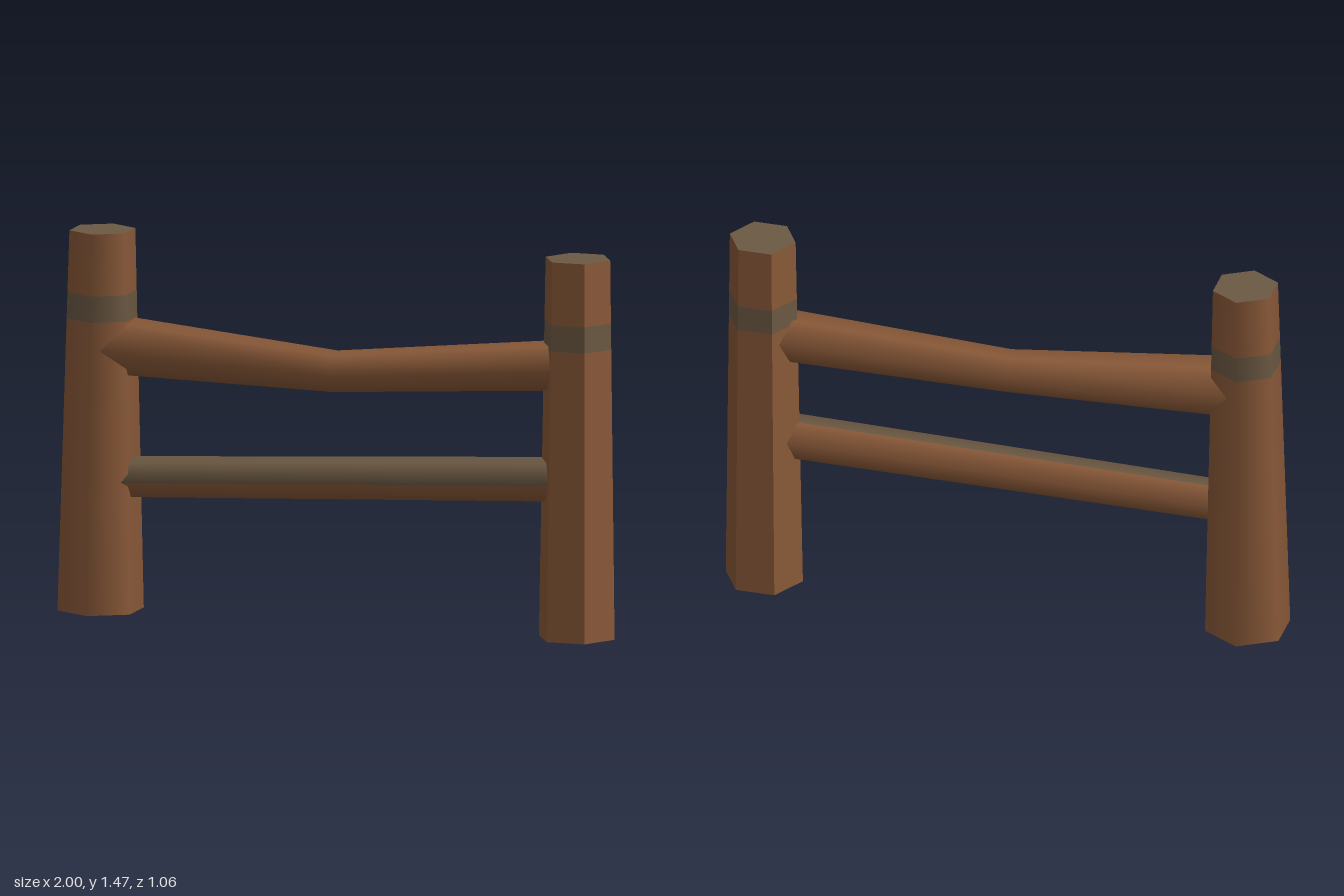
import * as THREE from 'three';

const V = (x, y, z) => new THREE.Vector3(x, y, z);
const SIDES = 6;

// Six-sided loft through rings [x, y, z, radius]; u x v must point along the path.
// pick(segment, side) gives the material index of each face; caps = [first, last] index or null.
function loft(name, rings, u, v, turn, smooth, materials, pick, caps = [null, null]) {
  const pos = [], nor = [], geo = new THREE.BufferGeometry();
  const dir = k => {
    const a = THREE.MathUtils.degToRad(turn + k * 360 / SIDES);
    return u.clone().multiplyScalar(Math.cos(a)).addScaledVector(v, Math.sin(a));
  };
  const at = (r, k) => V(r[0], r[1], r[2]).addScaledVector(dir(k), r[3]);
  const tri = (points, normals, mat) => {
    geo.addGroup(pos.length / 3, 3, mat);
    points.forEach((p, i) => { pos.push(...p.toArray()); nor.push(...normals[i].toArray()); });
  };
  for (let s = 0; s < rings.length - 1; s++) {
    for (let k = 0; k < SIDES; k++) {
      const a = at(rings[s], k), b = at(rings[s], k + 1);
      const c = at(rings[s + 1], k + 1), d = at(rings[s + 1], k);
      const n0 = dir(smooth ? k : k + 0.5), n1 = dir(smooth ? k + 1 : k + 0.5);
      tri([a, b, c], [n0, n1, n1], pick(s, k));
      tri([a, c, d], [n0, n1, n0], pick(s, k));
    }
  }
  // End caps
  const axis = u.clone().cross(v);
  caps.forEach((mat, end) => {
    if (mat === null) return;
    const r = end ? rings[rings.length - 1] : rings[0];
    const n = axis.clone().multiplyScalar(end ? 1 : -1);
    for (let k = 0; k < SIDES; k++) {
      const p = at(r, k), q = at(r, k + 1), c = V(r[0], r[1], r[2]);
      tri(end ? [c, p, q] : [c, q, p], [n, n, n], mat);
    }
  });
  geo.setAttribute('position', new THREE.Float32BufferAttribute(pos, 3));
  geo.setAttribute('normal', new THREE.Float32BufferAttribute(nor, 3));
  const mesh = new THREE.Mesh(geo, materials);
  mesh.name = name;
  return mesh;
}

export function createModel() {
  const group = new THREE.Group();
  group.name = 'fence';
  const wood = new THREE.MeshStandardMaterial({ color: 0x8b5a39 });
  wood.name = 'brown wood';
  const worn = new THREE.MeshStandardMaterial({ color: 0x6c5943 });
  worn.name = 'weathered wood';
  const materials = [wood, worn];

  // Tapered leaning posts with a weathered band and top
  const post = (name, top, bottom, band, turn, smooth) => {
    const ring = y => {
      const t = (top[1] - y) / (top[1] - bottom[1]);
      return top.map((n, i) => THREE.MathUtils.lerp(n, bottom[i], t));
    };
    const rings = [top, ring(band + 0.1), ring(band), bottom];
    group.add(loft(name, rings, V(1, 0, 0), V(0, 0, 1), turn, smooth, materials,
      s => (s === 1 ? 1 : 0), [1, 0]));
  };
  post('rightPost', [-0.816, 1.472, 0.388, 0.126], [-0.838, 0.022, 0.372, 0.165], 1.136, 9, true);
  post('leftPost', [0.877, 1.45, -0.365, 0.128], [0.857, 0.003, -0.382, 0.15], 1.11, 39, false);

  // Rails running between the posts
  const back = V(-0.405, 0, -0.915).normalize(), up = V(0, 1, 0);
  group.add(loft('upperRail', [
    [-0.84, 1.04, 0.395, 0.118],
    [0.03, 0.98, 0.04, 0.081],
    [0.86, 1.045, -0.355, 0.1],
  ], back, up, 5, true, materials, () => 0));

  // Lower rail is weathered on its top, upper front and underside
  group.add(loft('lowerRail', [
    [-0.84, 0.53, 0.4, 0.078],
    [0.86, 0.61, -0.35, 0.086],
  ], back, up, 8, true, materials, (s, k) => ([1, 2, 4].includes(k) ? 1 : 0)));

  return group;
}
